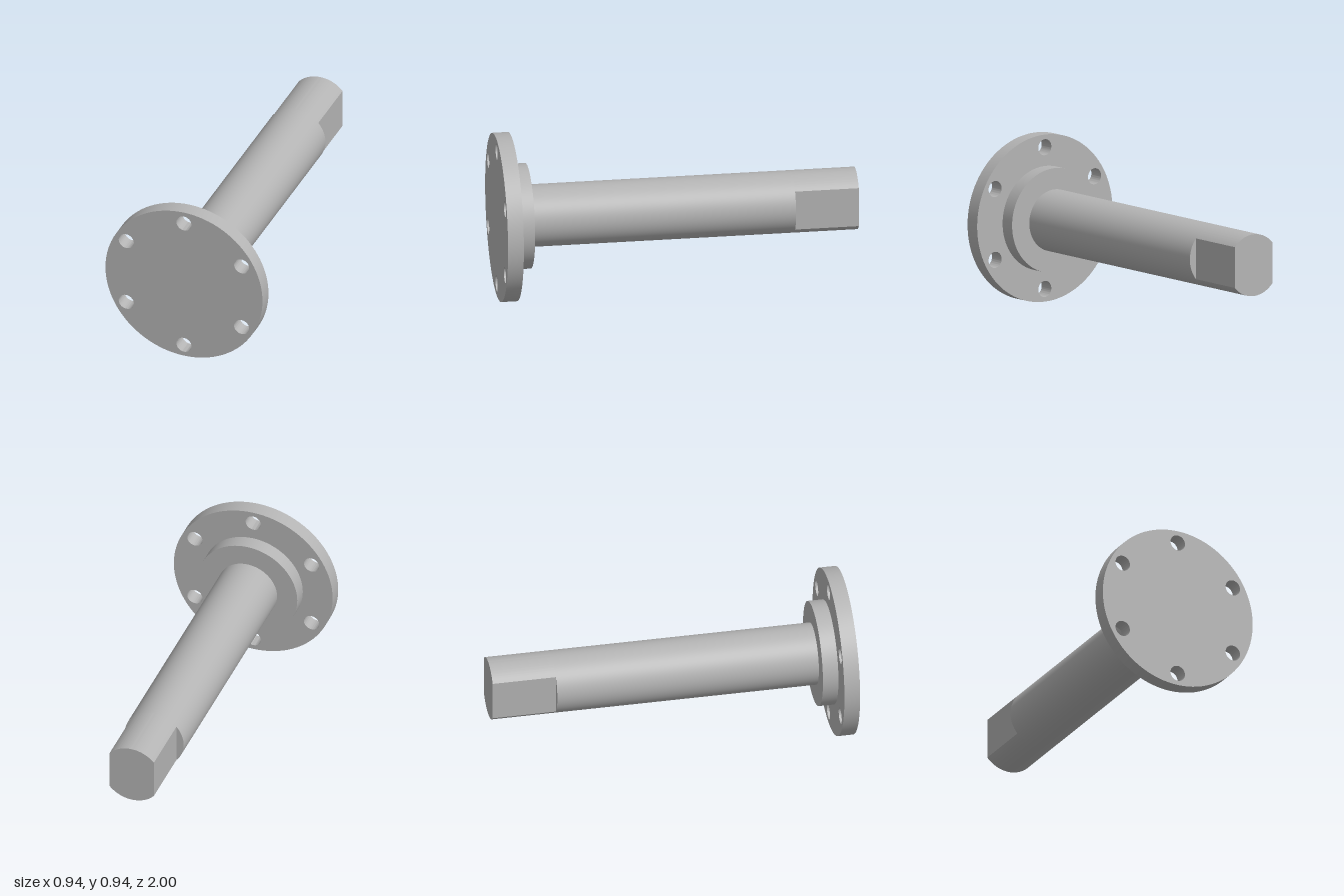
import * as THREE from 'three';
import { toCreasedNormals } from 'three/addons/utils/BufferGeometryUtils.js';

const AXIS_Y = 0.47;

export function createModel() {
  const model = new THREE.Group();
  model.name = 'flangedShaft';
  const steel = new THREE.MeshStandardMaterial({ color: 0xb4b4b4 });
  steel.name = 'grey steel';

  const circle = (radius) => new THREE.Shape().absarc(0, 0, radius, 0, Math.PI * 2, false);

  // Extrudes a cross-section along z between two planes, with smooth curved sides
  function addPart(name, shape, zBack, zFront) {
    const solid = new THREE.ExtrudeGeometry(shape, {
      depth: zFront - zBack, bevelEnabled: false, curveSegments: 48,
    });
    const mesh = new THREE.Mesh(toCreasedNormals(solid, 0.5), steel);
    mesh.name = name;
    mesh.position.set(0, AXIS_Y, zBack);
    model.add(mesh);
  }

  // Flange with a ring of six bolt holes
  const flange = circle(0.468);
  for (let i = 0; i < 6; i++) {
    const a = Math.PI / 2 + (i * Math.PI) / 3;
    flange.holes.push(new THREE.Path().absarc(
      0.397 * Math.cos(a), 0.397 * Math.sin(a), 0.045, 0, Math.PI * 2, true));
  }
  addPart('flange', flange, 0.912, 1);

  // Hub and round shaft, each seated slightly into the part in front of it
  addPart('hub', circle(0.292), 0.825, 0.93);
  const shaftRadius = 0.173;
  const flatStart = -0.645;
  addPart('shaft', circle(shaftRadius), flatStart, 0.85);

  // Shaft end with two parallel flats on the left and right
  const flatAngle = Math.acos(0.13 / shaftRadius);
  const tip = new THREE.Shape();
  tip.absarc(0, 0, shaftRadius, flatAngle, Math.PI - flatAngle, false);
  tip.absarc(0, 0, shaftRadius, Math.PI + flatAngle, 2 * Math.PI - flatAngle, false);
  tip.closePath();
  addPart('flattedEnd', tip, -1, flatStart);

  return model;
}
